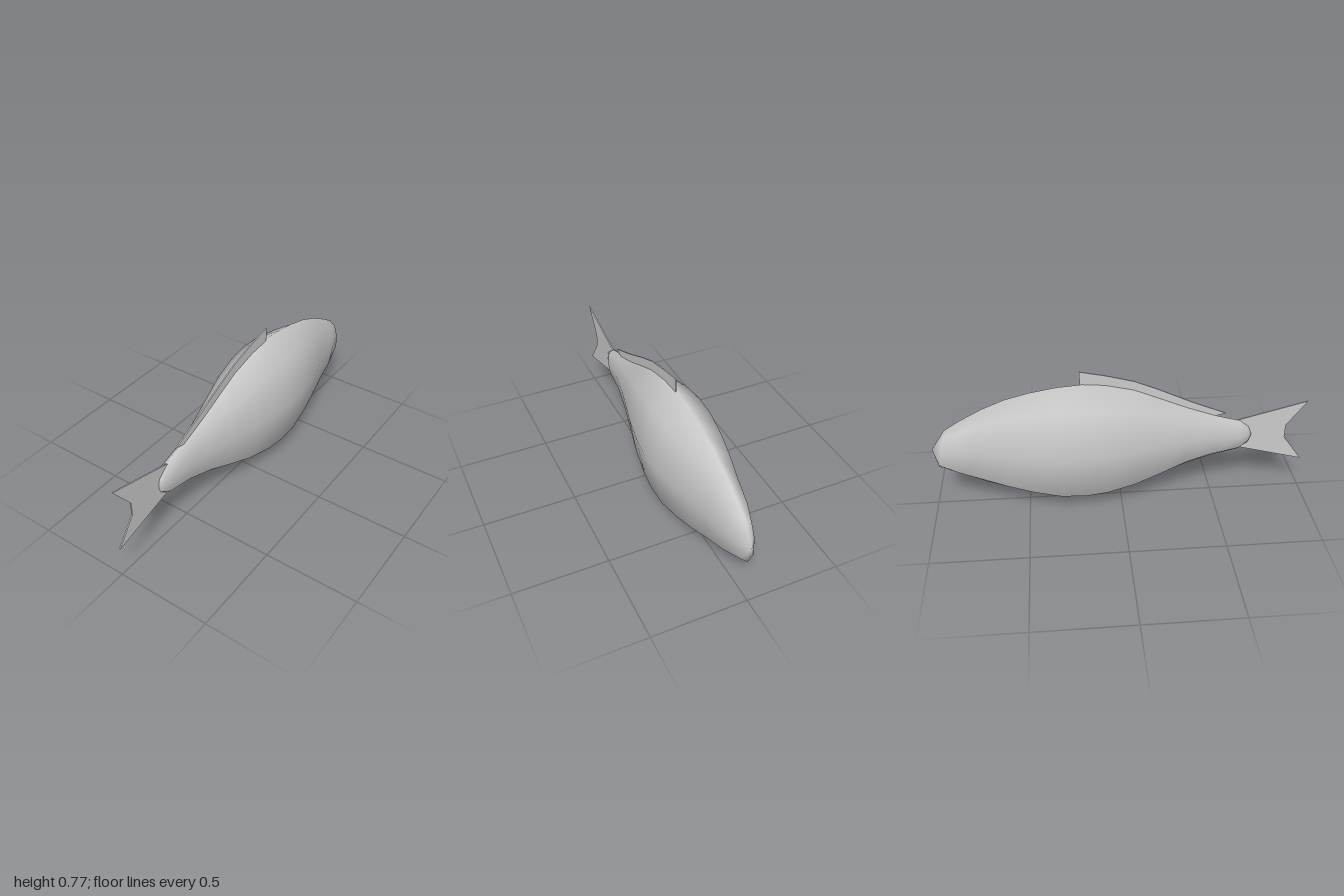
import * as THREE from 'three';

// Body sections, tail to nose: [xTop, yTop, xBottom, yBottom, halfWidth]
const SECTIONS = [
  [-0.69, 0.40, -0.69, 0.30, 0.018],
  [-0.64, 0.44, -0.64, 0.262, 0.035],
  [-0.50, 0.48, -0.50, 0.23, 0.042],
  [-0.35, 0.535, -0.35, 0.18, 0.07],
  [-0.20, 0.60, -0.20, 0.11, 0.105],
  [-0.07, 0.655, -0.07, 0.055, 0.137],
  [0.08, 0.69, 0.08, 0.015, 0.163],
  [0.20, 0.70, 0.20, 0.003, 0.175],
  [0.33, 0.69, 0.33, 0.01, 0.172],
  [0.47, 0.665, 0.47, 0.04, 0.15],
  [0.60, 0.63, 0.60, 0.08, 0.122],
  [0.72, 0.58, 0.72, 0.125, 0.092],
  [0.84, 0.515, 0.84, 0.18, 0.075],
  [0.92, 0.465, 0.97, 0.24, 0.043],
];
// Eight-sided unit section [y, z], from the back ridge round through +z
const RING = [[1, 0], [0.75, 0.75], [0, 1], [-0.75, 0.75], [-1, 0], [-0.75, -0.75], [0, -1], [0.75, -0.75]];

function bodyGeometry() {
  const pos = [], index = [], n = RING.length;
  for (const [xt, yt, xb, yb, w] of SECTIONS) {
    for (const [v, s] of RING) {
      const k = (v + 1) / 2;
      pos.push(xb + (xt - xb) * k, yb + (yt - yb) * k, s * w);
    }
  }
  const last = (SECTIONS.length - 1) * n;
  const tailTip = pos.length / 3, noseTip = tailTip + 1;
  pos.push(-0.71, 0.35, 0, 0.995, 0.35, 0);
  for (let j = 0; j < n; j++) {
    const j2 = (j + 1) % n;
    for (let i = 0; i < last; i += n) {
      const a = i + j, c = i + j2;
      index.push(a, c, a + n, c, c + n, a + n);
    }
    index.push(tailTip, j2, j, noseTip, last + j, last + j2);
  }
  const geo = new THREE.BufferGeometry();
  geo.setAttribute('position', new THREE.Float32BufferAttribute(pos, 3));
  geo.setIndex(index);
  geo.computeVertexNormals();
  return geo;
}

// Thin flat fin cut from an outline in the x-y plane
function finGeometry(outline) {
  const shape = new THREE.Shape(outline.map(([x, y]) => new THREE.Vector2(x, y)));
  return new THREE.ExtrudeGeometry(shape, { depth: 0.007, bevelEnabled: false });
}

export function createModel() {
  const group = new THREE.Group();
  group.name = 'fish';
  const material = new THREE.MeshStandardMaterial({ color: 0xcccccc });
  const add = (name, geo) => {
    const mesh = new THREE.Mesh(geo, material);
    mesh.name = name;
    group.add(mesh);
  };

  add('body', bodyGeometry());

  // Forked tail
  add('tailFin', finGeometry([
    [-1, 0.54], [-0.895, 0.395], [-0.895, 0.32], [-1, 0.177], [-0.63, 0.275], [-0.63, 0.443],
  ]));

  // Fin along the back, its lower edge sunk just under the ridge
  add('backFin', finGeometry([
    [-0.56, 0.49], [-0.50, 0.475], [-0.35, 0.53], [-0.20, 0.595], [-0.07, 0.65], [0.08, 0.685],
    [0.21, 0.695], [0.21, 0.772], [0.08, 0.745], [-0.07, 0.705], [-0.20, 0.65], [-0.38, 0.565],
  ]));

  return group;
}
